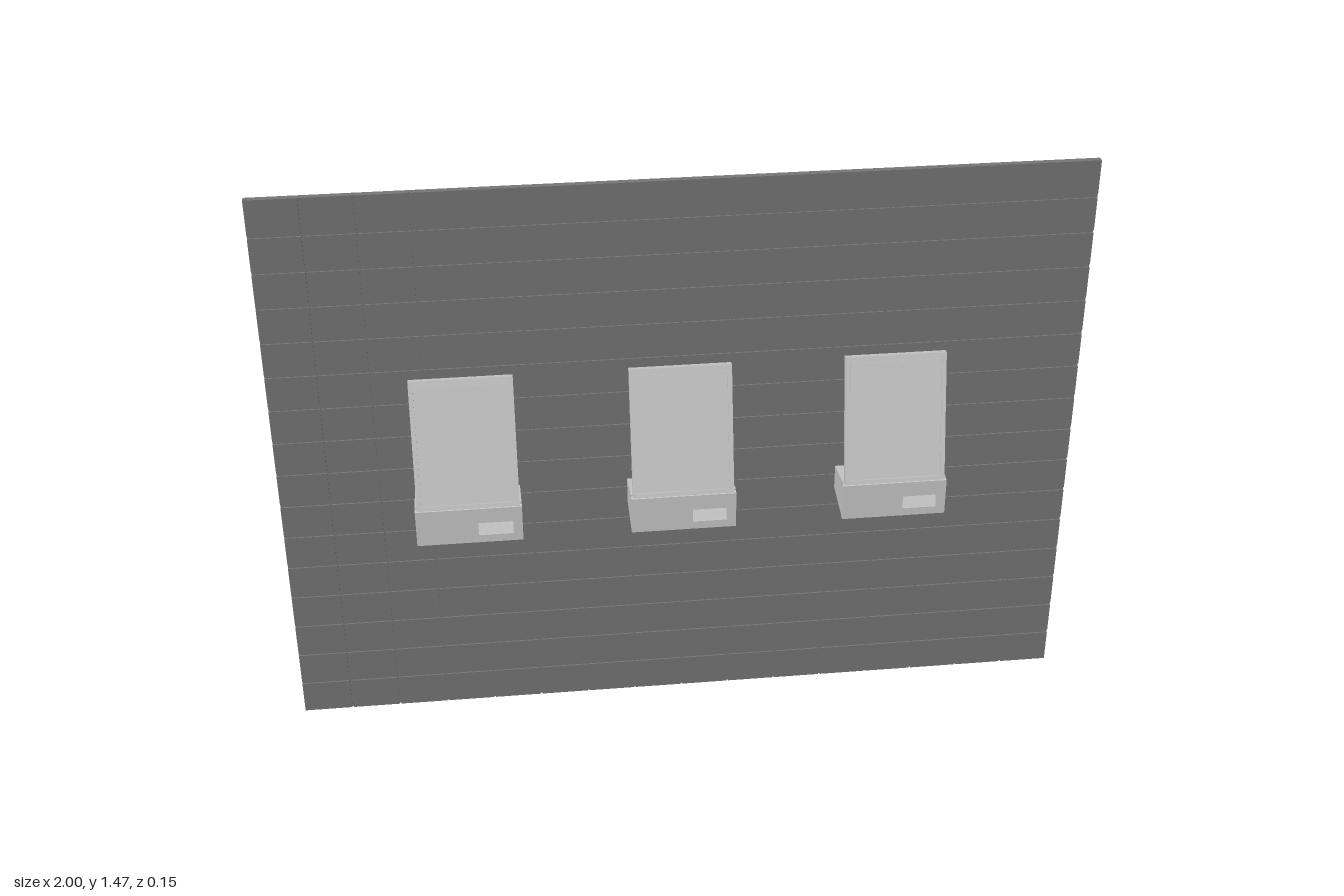
import * as THREE from 'three';

const grey = new THREE.MeshStandardMaterial({ color: 0xcccccc });
const slate = new THREE.MeshStandardMaterial({ color: 0x777777 });

function add(parent, name, geometry, material, x = 0, y = 0, z = 0) {
  const mesh = new THREE.Mesh(geometry, material);
  mesh.name = name;
  mesh.position.set(x, y, z);
  parent.add(mesh);
  return mesh;
}

const rect = (Type, x0, y0, x1, y1) => new Type([
  new THREE.Vector2(x0, y0), new THREE.Vector2(x1, y0),
  new THREE.Vector2(x1, y1), new THREE.Vector2(x0, y1),
]);

// Plate with a rectangular opening, extruded towards +z
function frame(outer, inner, depth) {
  const shape = rect(THREE.Shape, ...outer);
  shape.holes.push(rect(THREE.Path, ...inner));
  return new THREE.ExtrudeGeometry(shape, { depth, bevelEnabled: false });
}

// Side profile of [z, y] points, extruded across x and centred
function sideExtrude(points, width) {
  const shape = new THREE.Shape(points.map(([z, y]) => new THREE.Vector2(-z, y)));
  return new THREE.ExtrudeGeometry(shape, { depth: width, bevelEnabled: false })
    .translate(0, 0, -width / 2).rotateY(Math.PI / 2);
}

// Wall: backing sheet with a grid of raised tiles
function makeWall() {
  const wall = new THREE.Group();
  wall.name = 'tiledWall';
  const W = 2, H = 1.47, n = 16, gapX = 0.004, gapY = 0.009;
  add(wall, 'wallBacking', new THREE.BoxGeometry(W, H, 0.012), slate, 0, H / 2, -0.07);
  const w = W / n, h = H / n;
  for (let r = 0; r < n; r++) {
    for (let c = 0; c < n; c++) {
      // Outer tiles run flush to the wall edges
      const x0 = -1 + c * w + (c ? gapX / 2 : 0);
      const x1 = -1 + (c + 1) * w - (c < n - 1 ? gapX / 2 : 0);
      const y0 = r * h + (r ? gapY / 2 : 0);
      const y1 = (r + 1) * h - (r < n - 1 ? gapY / 2 : 0);
      add(wall, 'wallTile', new THREE.BoxGeometry(x1 - x0, y1 - y0, 0.004), slate,
        (x0 + x1) / 2, (y0 + y1) / 2, -0.062);
    }
  }
  return wall;
}

// Terminal: wedge-shaped base with a slot, carrying a leaning screen
function makeTerminal(x) {
  const terminal = new THREE.Group();
  terminal.name = 'terminal';
  terminal.position.x = x;
  const W = 0.26, half = W / 2;

  add(terminal, 'baseBody', sideExtrude([
    [0.062, 0.593], [0.062, 0.692], [-0.042, 0.675], [-0.042, 0.611],
  ], W), grey);
  add(terminal, 'baseFront',
    frame([-half, 0.591, half, 0.688], [0.022, 0.612, 0.107, 0.647], 0.014), grey, 0, 0, 0.062);
  add(terminal, 'slotRamp', sideExtrude([
    [0.062, 0.612], [0.074, 0.612], [0.062, 0.643],
  ], 0.085), grey, 0.0645, 0, 0);

  // Screen panel leaning back from the front edge of the base
  const panel = new THREE.Group();
  panel.name = 'screenPanel';
  panel.position.set(0, 0.685, 0.073);
  panel.rotation.x = -0.218;
  terminal.add(panel);
  const L = 0.333, pw = 0.125;
  add(panel, 'screenHousing', new THREE.BoxGeometry(pw * 2, L, 0.014), grey, 0, L / 2, -0.011);
  add(panel, 'screenBezel',
    frame([-pw, 0, pw, L], [-pw + 0.011, 0.014, pw - 0.011, L - 0.015], 0.004), grey, 0, 0, -0.004);
  add(panel, 'screen', new THREE.BoxGeometry(pw * 2 - 0.026, L - 0.033, 0.002), grey,
    0, L / 2, -0.003);
  return terminal;
}

export function createModel() {
  const model = new THREE.Group();
  model.name = 'wallWithTerminals';
  model.add(makeWall());
  for (const i of [-1, 0, 1]) model.add(makeTerminal(-0.008 + i * 0.528));
  return model;
}
